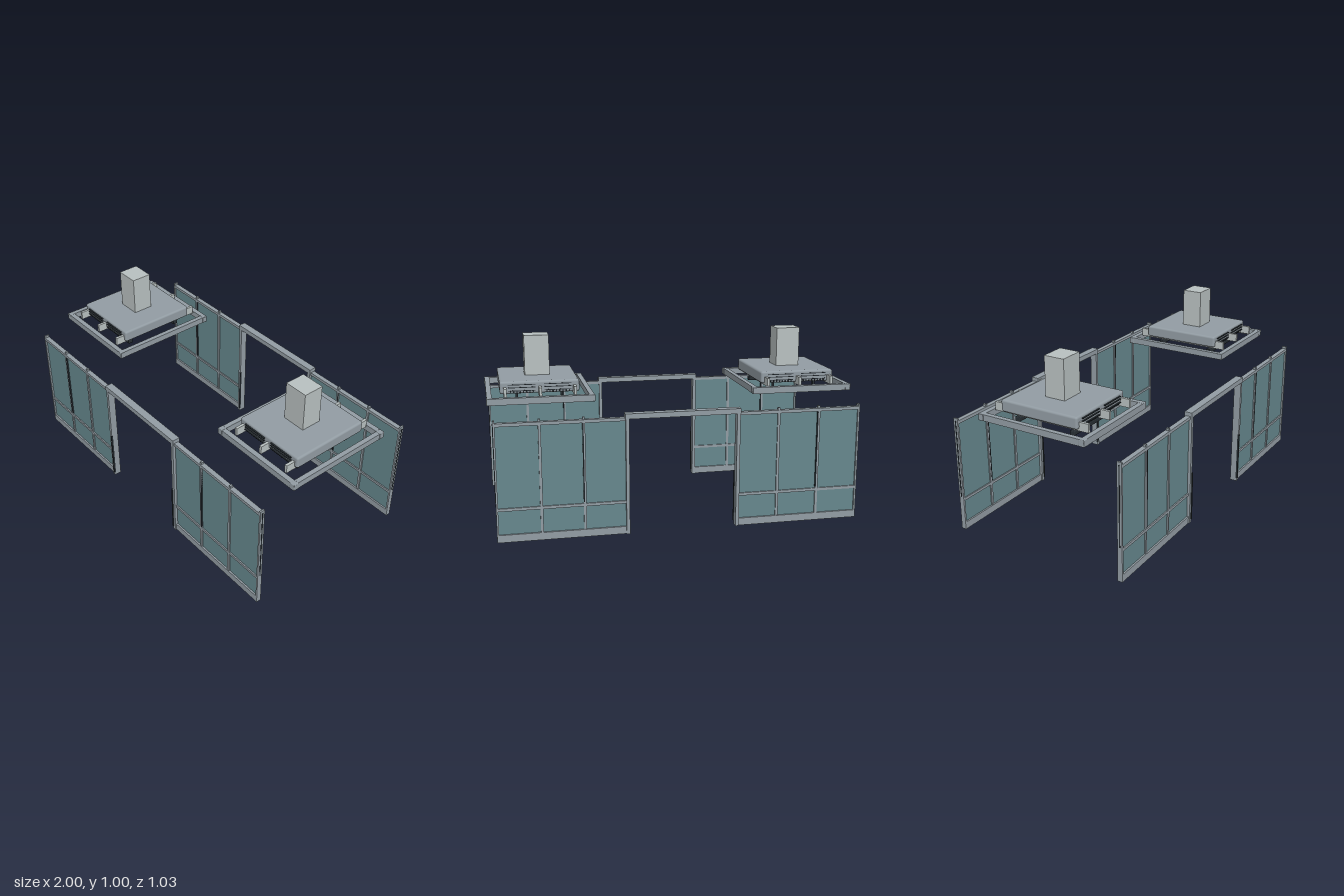
import * as THREE from 'three';
import { RoundedBoxGeometry } from 'three/addons/geometries/RoundedBoxGeometry.js';

const material = (name, color) => {
  const m = new THREE.MeshStandardMaterial({ color });
  m.name = name;
  return m;
};

export function createModel() {
  const metal = material('grey metal', 0x929ca3);
  const pale = material('pale galvanised metal', 0xb8c0c0);
  const glass = material('teal glass', 0x66878d);
  const dark = material('dark rubber', 0x272e33);

  // Box given by its min and max corners
  const box = (parent, name, mat, x0, x1, y0, y1, z0, z1, radius = 0) => {
    const w = x1 - x0, h = y1 - y0, d = z1 - z0;
    const geo = radius ? new RoundedBoxGeometry(w, h, d, 2, radius) : new THREE.BoxGeometry(w, h, d);
    const mesh = new THREE.Mesh(geo, mat);
    mesh.name = name;
    mesh.position.set((x0 + x1) / 2, (y0 + y1) / 2, (z0 + z1) / 2);
    parent.add(mesh);
    return mesh;
  };

  // Box mirrored to the side s = +1 / -1 in x
  const sideBox = (parent, name, mat, s, x0, x1, ...rest) =>
    s > 0 ? box(parent, name, mat, x0, x1, ...rest) : box(parent, name, mat, -x1, -x0, ...rest);

  // Glazed screen: two panels joined by a header over the opening
  function screen(z) {
    const g = new THREE.Group();
    g.name = 'glazedScreen';
    g.position.z = z;
    const t = 0.0135;
    for (const s of [1, -1]) {
      const panel = new THREE.Group();
      panel.name = s > 0 ? 'leftPanel' : 'rightPanel';
      g.add(panel);
      const part = (...a) => sideBox(panel, a[0], a[1], s, ...a.slice(2));
      part('glass', glass, 0.3, 0.97, 0.03, 0.615, -0.004, 0.004);
      part('bottomRail', metal, 0.304, 0.975, 0, 0.04, -t, t);
      part('middleRail', metal, 0.304, 0.966, 0.166, 0.181, -0.011, 0.011);
      part('topRail', metal, 0.304, 0.975, 0.61, 0.627, -t, t);
      part('doorJamb', metal, 0.287, 0.305, 0, 0.622, -0.0205, 0.0205);
      part('endPost', metal, 0.965, 0.975, 0, 0.64, -t, t);
      part('endGasket', dark, 0.972, 0.977, 0.19, 0.625, -0.003, 0.003);
      part('doorHandle', dark, 0.284, 0.291, 0.02, 0.3, 0.015, 0.025);
      // Intermediate mullions with little caps
      for (const x of [0.52, 0.744]) {
        part('mullion', metal, x - 0.007, x + 0.007, 0.03, 0.627, -0.011, 0.011);
        part('mullionCap', metal, x - 0.006, x + 0.006, 0.627, 0.64, -0.008, 0.008);
      }
    }
    // Gaskets where the sliding panes meet
    for (const x of [-0.738, 0.524]) {
      box(g, 'paneGasket', dark, x - 0.003, x + 0.003, 0.19, 0.612, -0.012, 0.012);
    }
    box(g, 'doorHeader', metal, -0.308, 0.308, 0.62, 0.648, -0.0215, 0.0215);
    return g;
  }

  // Extract hood hung inside a rectangular frame
  function hood(x) {
    const g = new THREE.Group();
    g.name = 'extractHood';
    g.position.set(x, 0, -0.002);
    box(g, 'hoodBody', metal, -0.21, 0.21, 0.717, 0.783, -0.228, 0.228, 0.012);
    box(g, 'duct', pale, -0.067, 0.067, 0.78, 1, -0.058, 0.058);

    // Frame bars and corner connectors
    for (const s of [1, -1]) {
      sideBox(g, 'frameSide', metal, s, 0.253, 0.28, 0.678, 0.713, -0.3, 0.3);
      const z = s * 0.3015;
      box(g, 'frameEnd', metal, -0.265, 0.265, 0.678, 0.713, z - 0.0145, z + 0.0145);
      for (const e of [1, -1]) {
        sideBox(g, 'frameCorner', metal, s, 0.251, 0.283, 0.677, 0.714, e * 0.301 - 0.016, e * 0.301 + 0.016, 0.004);
      }
    }

    // Carrier rods below the hood
    for (const cx of [-0.183, 0, 0.183]) {
      box(g, 'carrierRod', pale, cx - 0.0075, cx + 0.0075, 0.708, 0.754, -0.28, 0.28);
    }

    // Lamp bars on short hangers
    for (const z of [-0.166, 0.166]) {
      box(g, 'lampBar', dark, -0.163, 0.163, 0.66, 0.684, z - 0.015, z + 0.015, 0.005);
      for (const cx of [-0.12, 0.12]) {
        box(g, 'lampHanger', dark, cx - 0.006, cx + 0.006, 0.68, 0.72, z - 0.006, z + 0.006);
      }
    }

    // Slotted vents on both long faces
    for (const s of [1, -1]) {
      const out = s > 0 ? 0.236 : 0.2295;
      for (const cx of [-0.095, 0.095]) {
        for (const y of [0.733, 0.75, 0.765]) {
          const z = s * (0.226 + out) / 2, d = (out - 0.226) / 2;
          box(g, 'ventSlot', dark, cx - 0.072, cx + 0.072, y - 0.002, y + 0.002, z - d, z + d);
        }
        for (let i = 0; i < 8; i++) {
          const tx = cx - 0.06 + i * 0.017;
          box(g, 'ventTooth', dark, tx - 0.003, tx + 0.003, 0.722, 0.733, s * 0.228 - 0.003, s * 0.228 + 0.003);
        }
      }
    }
    return g;
  }

  const model = new THREE.Group();
  model.name = 'ventilatedEnclosure';
  model.add(screen(0.491), screen(-0.494), hood(0.715), hood(-0.715));
  return model;
}
